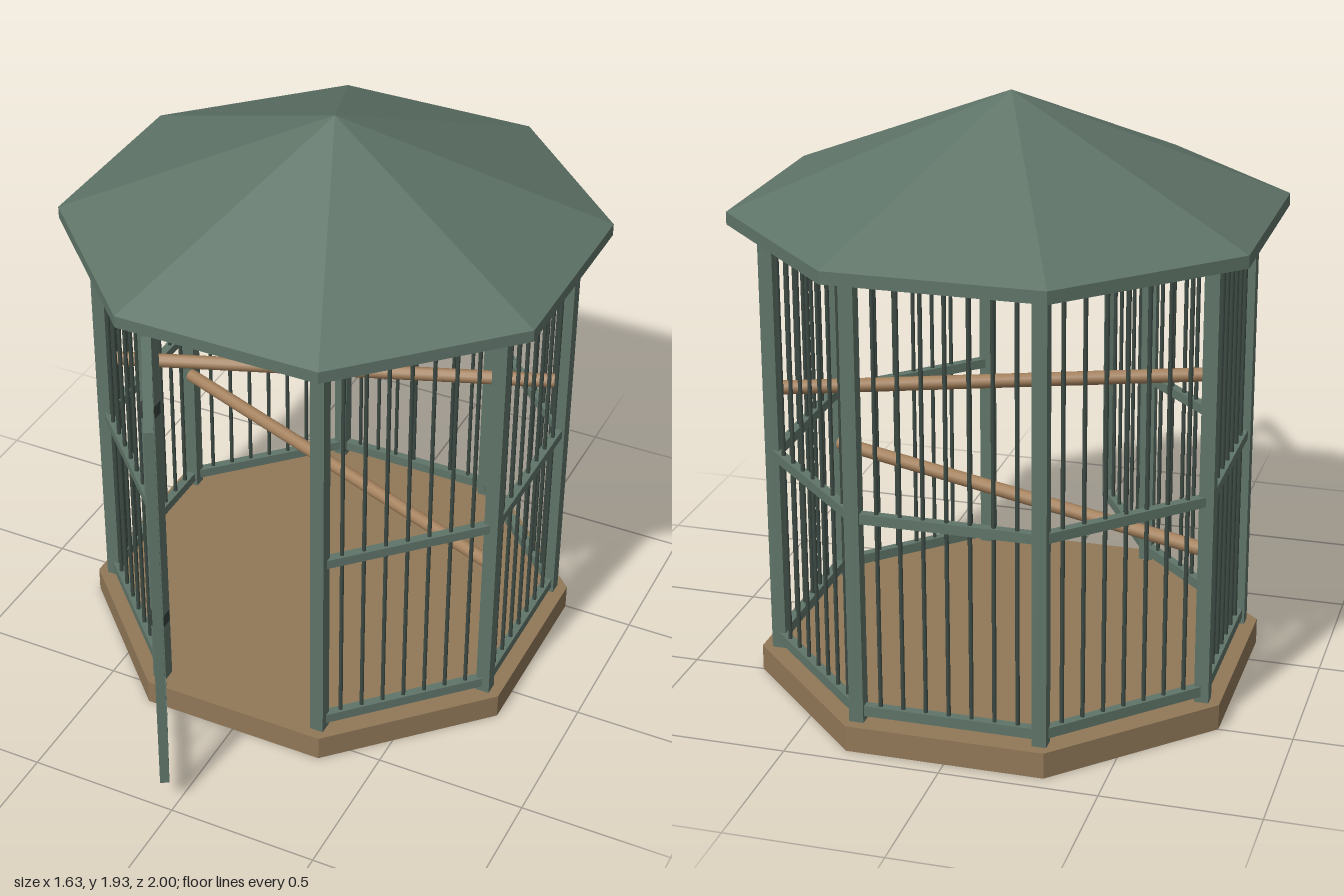
import * as THREE from 'three';

const mat = (name, color, extra = {}) => {
  const m = new THREE.MeshStandardMaterial({ color, ...extra });
  m.name = name;
  return m;
};

export function createModel() {
  const green = mat('green paint', 0x5f7468, { flatShading: true });
  const roofGreen = mat('roof green', 0x5f7468, { flatShading: true, side: THREE.DoubleSide });
  const barGreen = mat('dark green bars', 0x3d4a44);
  const hingeDark = mat('dark hinge metal', 0x35403b);
  const wood = mat('floor wood', 0x917858, { flatShading: true });
  const perchWood = mat('perch wood', 0xa3805c);

  const model = new THREE.Group();
  model.name = 'aviary';
  const cage = new THREE.Group();
  cage.name = 'cage';
  cage.position.z = -0.183;
  model.add(cage);

  const add = (parent, name, geo, material, x = 0, y = 0, z = 0) => {
    const m = new THREE.Mesh(geo, material);
    m.name = name;
    m.position.set(x, y, z);
    parent.add(m);
    return m;
  };
  const box = (parent, name, w, h, d, material, x, y, z) =>
    add(parent, name, new THREE.BoxGeometry(w, h, d), material, x, y, z);

  const K = Math.cos(Math.PI / 8); // apothem / corner radius
  const APO = 0.705, SIDE = 2 * APO * Math.tan(Math.PI / 8);
  const octagon = (r0, r1, h, open) =>
    new THREE.CylinderGeometry(r0 / K, r1 / K, h, 8, 1, open).rotateY(Math.PI / 8);

  // Floor slab
  add(cage, 'base', octagon(0.763, 0.763, 0.085, false), wood, 0, 0.0425, 0);

  // Hollow roof with a fascia band
  add(cage, 'roof', octagon(0, 0.817, 0.36, true), roofGreen, 0, 1.75, 0);
  add(cage, 'fascia', octagon(0.817, 0.817, 0.04, true), roofGreen, 0, 1.55, 0);

  // Corner posts, and a barred panel on every side but the front doorway
  const barGeo = new THREE.CylinderGeometry(0.007, 0.007, 1.4, 8);
  for (let i = 0; i < 8; i++) {
    const a = (i + 0.5) * Math.PI / 4;
    box(cage, 'post', 0.046, 1.46, 0.046, green,
      Math.sin(a) * APO / K, 0.81, Math.cos(a) * APO / K);

    const panel = new THREE.Group();
    panel.name = i === 0 ? 'doorway' : 'panel';
    panel.rotation.y = i * Math.PI / 4;
    cage.add(panel);
    box(panel, 'topRail', SIDE, 0.032, 0.03, green, 0, 1.521, APO);
    if (i === 0) continue;
    box(panel, 'bottomRail', SIDE, 0.034, 0.03, green, 0, 0.122, APO);
    box(panel, 'middleRail', SIDE, 0.032, 0.03, green, 0, 0.766, APO);
    for (let k = -3; k <= 3; k++) {
      add(panel, 'bar', barGeo, barGreen, k * SIDE / 8, 0.82, APO);
    }
  }

  // Two crossing perches
  for (const [y, s] of [[0.978, -1], [0.586, 1]]) {
    const perch = add(cage, 'perch',
      new THREE.CylinderGeometry(0.023, 0.023, 1.47, 12).rotateZ(Math.PI / 2), perchWood, 0, y, 0);
    perch.rotation.y = -s * Math.atan2(0.26, 0.685);
  }

  // Open door, swung outward about its hinge side
  const door = new THREE.Group();
  door.name = 'door';
  door.position.set(-0.277, 0, 0.557);
  door.rotation.y = -Math.PI / 3;
  model.add(door);
  const W = 0.5, F = 0.035, LOW = 0.1, HIGH = 1.47, MID = (LOW + HIGH) / 2;
  for (const x of [F / 2, W - F / 2]) {
    box(door, 'doorStile', F, HIGH - LOW, 0.03, green, x, MID, 0);
  }
  for (const y of [LOW + F / 2, HIGH - F / 2]) {
    box(door, 'doorRail', W - 2 * F, F, 0.03, green, W / 2, y, 0);
  }
  const doorBar = new THREE.CylinderGeometry(0.007, 0.007, HIGH - LOW - F, 8);
  for (let k = -2; k <= 2; k++) {
    add(door, 'doorBar', doorBar, barGreen, W / 2 + k * (W - F) / 6, MID, 0);
  }

  // Hinges between post and door
  for (const y of [0.365, 1.202]) {
    box(model, 'hinge', 0.052, 0.046, 0.05, hingeDark, -0.277, y, 0.557);
  }
  return model;
}
